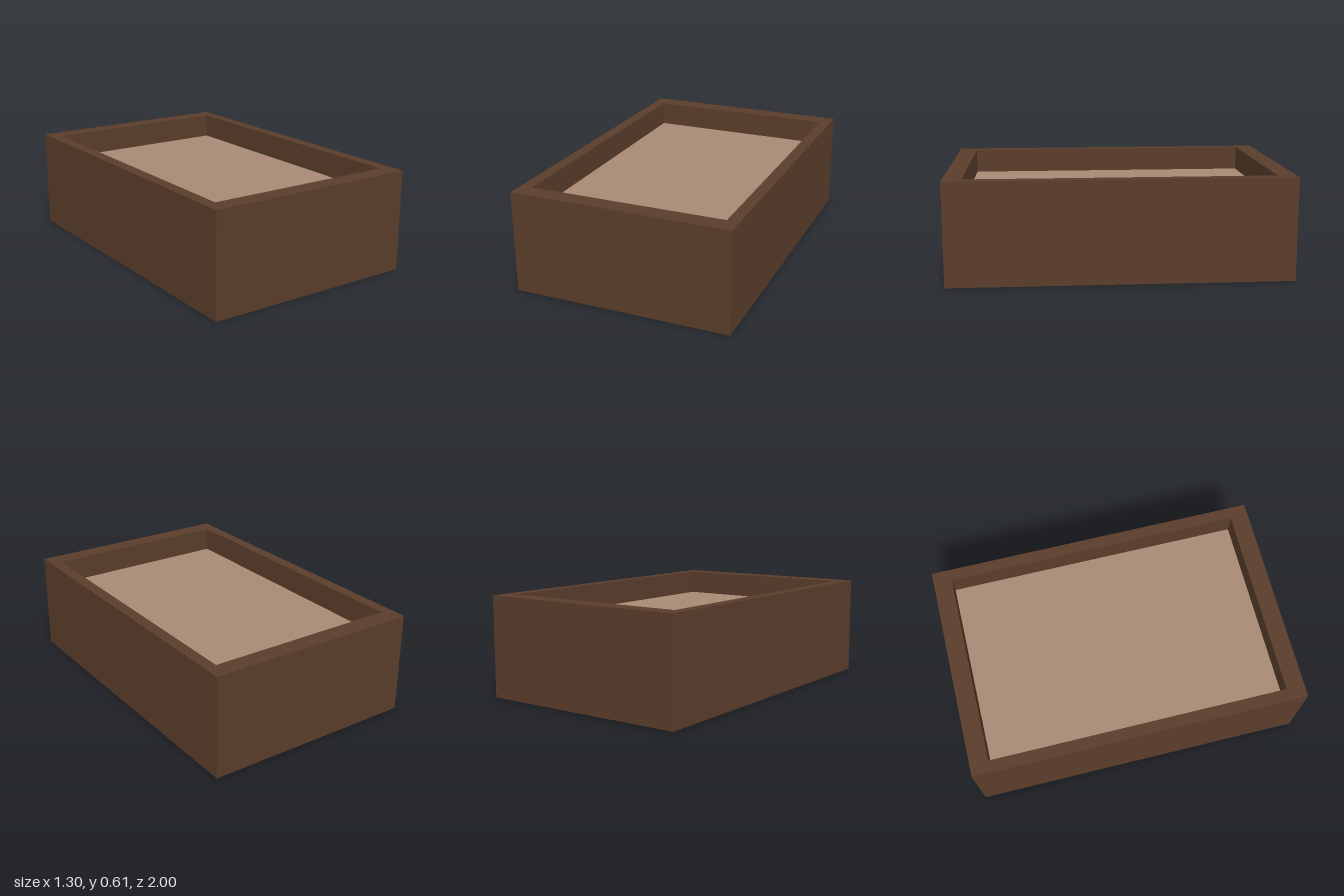
import * as THREE from 'three';

const W = 1.3, D = 2, H = 0.605;      // outer size
const IW = 1.16, ID = 1.78;           // opening
const TOP = 0.455, PANEL = 0.02;      // inset surface height and thickness

function rectangle(Type, w, d) {
  return new Type([
    new THREE.Vector2(-w / 2, -d / 2), new THREE.Vector2(w / 2, -d / 2),
    new THREE.Vector2(w / 2, d / 2), new THREE.Vector2(-w / 2, d / 2),
  ]);
}

export function createModel() {
  const model = new THREE.Group();
  model.name = 'openBox';
  const wood = new THREE.MeshStandardMaterial({ color: 0x5a3d2b });
  const lining = new THREE.MeshStandardMaterial({ color: 0xa88a73 });

  const add = (name, geometry, material, y = 0) => {
    const mesh = new THREE.Mesh(geometry, material);
    mesh.name = name;
    mesh.position.y = y;
    model.add(mesh);
  };

  // Four walls as one rectangular frame
  const outline = rectangle(THREE.Shape, W, D);
  outline.holes.push(rectangle(THREE.Path, IW, ID));
  const walls = new THREE.ExtrudeGeometry(outline, { depth: H, bevelEnabled: false });
  walls.rotateX(-Math.PI / 2);
  add('walls', walls, wood);

  // Solid base closing the underside
  const baseHeight = TOP - PANEL;
  add('base', new THREE.BoxGeometry(IW, baseHeight, ID), wood, baseHeight / 2);

  // Lighter inset surface below the rim
  add('insetPanel', new THREE.BoxGeometry(IW, PANEL, ID), lining, TOP - PANEL / 2);

  return model;
}
